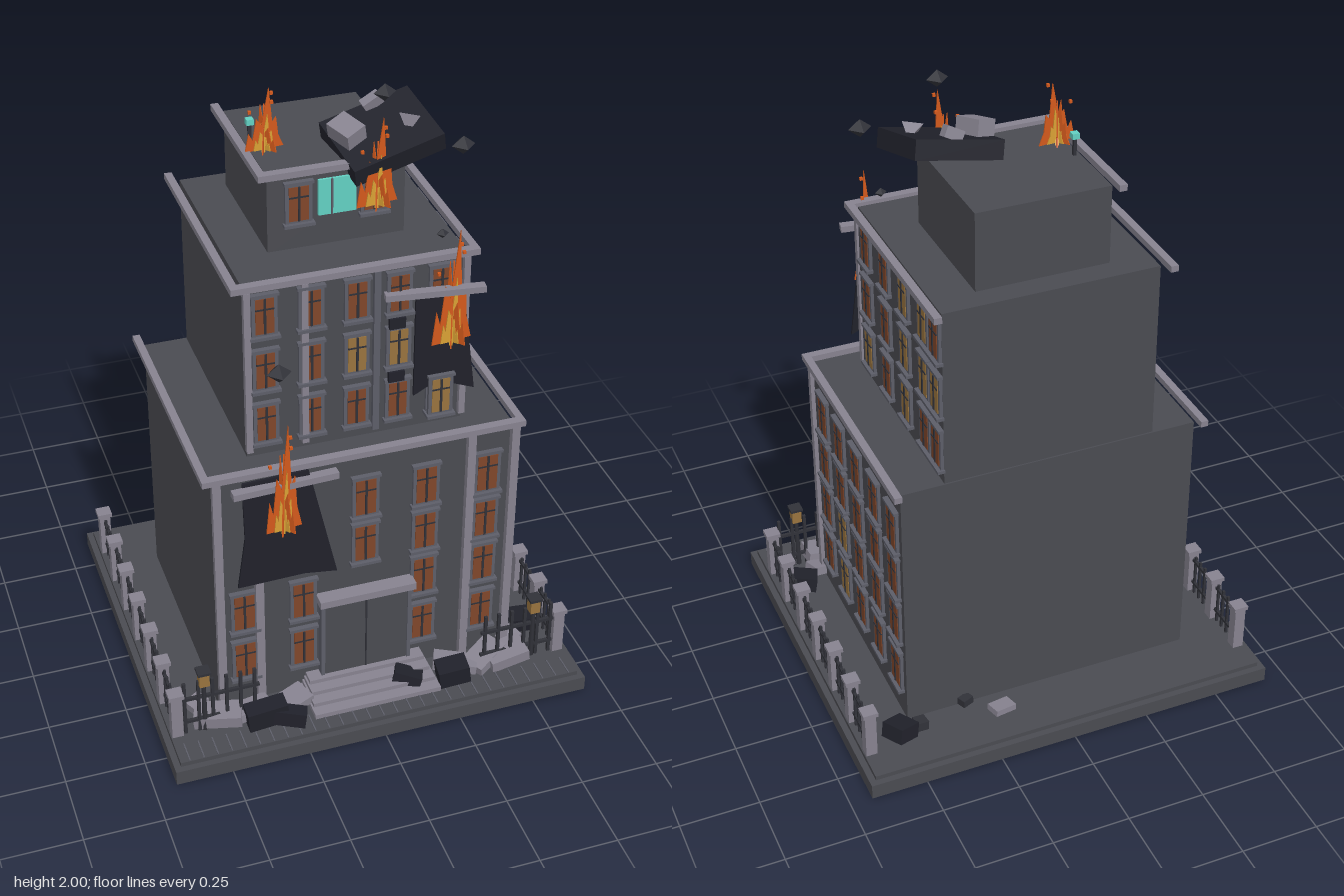
import * as THREE from 'three';

const mat = (name, color, side = THREE.FrontSide) => {
  const m = new THREE.MeshStandardMaterial({ color, side });
  m.name = name;
  return m;
};
const wall = mat('wall', 0x4a4b51), trim = mat('paleStone', 0x86828f), frame = mat('windowFrame', 0x5c5d68);
const char = mat('charred', 0x20212a), iron = mat('iron', 0x303138), amber = mat('amberGlass', 0x80462a);
const lit = mat('litGlass', 0x98733e), fire = mat('flame', 0xd2591c), core = mat('flameCore', 0xd8a034);
const cyan = mat('cyanGlow', 0x62d0c2);

function add(parent, name, geo, m, x = 0, y = 0, z = 0) {
  const mesh = new THREE.Mesh(geo, m);
  mesh.name = name;
  mesh.position.set(x, y, z);
  parent.add(mesh);
  return mesh;
}
const box = (parent, name, m, w, h, d, x, y, z) => add(parent, name, new THREE.BoxGeometry(w, h, d), m, x, y, z);

function group(parent, name, x = 0, y = 0, z = 0) {
  const g = new THREE.Group();
  g.name = name;
  g.position.set(x, y, z);
  parent.add(g);
  return g;
}

// Flat polygon extruded by a small depth, centred on z
function plate(points, depth) {
  const shape = new THREE.Shape(points.map(([x, y]) => new THREE.Vector2(x, y)));
  return new THREE.ExtrudeGeometry(shape, { depth, bevelEnabled: false }).translate(0, 0, -depth / 2);
}

// Window facing +z, origin on the wall surface
function addWindow(parent, x, y, z, glass, turn = 0, w = 0.064, h = 0.126) {
  const g = group(parent, 'window', x, y, z);
  g.rotation.y = turn;
  box(g, 'frame', frame, w + 0.022, h + 0.022, 0.012, 0, 0, 0.004);
  box(g, 'glass', glass, w, h, 0.006, 0, 0, 0.009);
  box(g, 'mullion', iron, 0.007, h, 0.006, 0, 0, 0.012);
  box(g, 'transom', iron, w, 0.005, 0.006, 0, h * 0.2, 0.011);
  box(g, 'sill', frame, w + 0.034, 0.01, 0.024, 0, -h / 2 - 0.012, 0.01);
  box(g, 'head', frame, w + 0.03, 0.009, 0.018, 0, h / 2 + 0.012, 0.008);
}

// Three crossed jagged sheets with a shorter bright core
function addFlame(parent, x, y, z, w, h) {
  const g = group(parent, 'fire', x, y, z);
  const outline = [[-0.5, 0], [-0.4, 0.3], [-0.3, 0.17], [-0.19, 0.52], [-0.06, 0.4], [0.14, 1],
    [0.22, 0.42], [0.32, 0.5], [0.37, 0.2], [0.5, 0]];
  for (let i = 0; i < 3; i++) {
    const k = i ? 0.72 : 1;
    const sheet = (s, t) => plate(outline.map(([a, b]) => [a * w * s * k, b * h * t * k]), s < 1 ? 0.011 : 0.004);
    add(g, 'flameSheet', sheet(1, 1), fire).rotation.y = i * 1.05 + 0.12;
    add(g, 'flameHeart', sheet(0.58, 0.58), core).rotation.y = i * 1.05 + 0.12;
  }
  [[0.3, 0.95], [-0.35, 0.75], [0.1, 1.02]].forEach(([a, b], i) =>
    box(g, 'ember', fire, 0.009, 0.009, 0.009, a * w, b * h * 0.85, (i - 1) * 0.04));
}

// Cornice along the front and the chosen sides
function addCornice(parent, x0, x1, y, z0, z1, sides) {
  const g = group(parent, 'cornice');
  box(g, 'frontCornice', trim, x1 - x0, 0.02, 0.028, (x0 + x1) / 2, y, z1 - 0.014);
  for (const s of sides)
    box(g, 'sideCornice', trim, 0.024, 0.02, z1 - z0, s < 0 ? x0 + 0.012 : x1 - 0.012, y, (z0 + z1) / 2);
}

function addFences(root) {
  for (const s of [-1, 1]) {
    const g = group(root, 'sideFence', s * 0.638);
    for (let i = 0; i < 7; i++) {
      const z = -0.49 + i * 0.16;
      box(g, 'post', trim, 0.036, 0.155, 0.036, 0, 0.143, z);
      box(g, 'postCap', trim, 0.048, 0.014, 0.046, 0, 0.226, z);
      if (i === 6) continue;
      for (const y of [0.105, 0.195]) box(g, 'rail', iron, 0.01, 0.01, 0.13, 0, y, z + 0.08);
      for (let k = 1; k < 5; k++) box(g, 'bar', iron, 0.008, 0.15, 0.008, 0, 0.14, z + k * 0.032);
    }
    // Front railing and lamp
    const f = group(root, 'frontFence', 0, 0, 0.475);
    for (let i = 0; i < 6; i++) box(f, 'bar', iron, 0.01, 0.2, 0.01, s * (0.385 + i * 0.045), 0.165, 0);
    for (const y of [0.11, 0.2]) box(f, 'rail', iron, 0.26, 0.01, 0.01, s * 0.5, y, 0);
    const lamp = group(root, 'lamp', s * 0.548, 0, 0.477);
    add(lamp, 'lampPost', new THREE.CylinderGeometry(0.007, 0.009, 0.19, 6), iron, 0, 0.155, 0);
    box(lamp, 'lantern', lit, 0.032, 0.048, 0.032, 0, 0.274, 0);
    box(lamp, 'lanternCap', iron, 0.042, 0.009, 0.042, 0, 0.302, 0);
  }
}

export function createModel() {
  const root = new THREE.Group();
  root.name = 'burningTower';

  // Base and paving seams
  box(root, 'base', wall, 1.36, 0.05, 1.24, 0, 0.025, 0);
  box(root, 'pavement', wall, 1.32, 0.015, 1.2, 0, 0.0575, 0);
  for (let i = -14; i <= 14; i++) box(root, 'pavingSeam', frame, 0.004, 0.003, 0.075, i * 0.045, 0.066, 0.56);

  // Three stepped storeys
  box(root, 'lowerBlock', wall, 0.96, 0.875, 0.79, 0, 0.4975, -0.005);
  box(root, 'middleBlock', wall, 0.68, 0.58, 0.69, 0, 1.225, -0.05);
  box(root, 'topBlock', wall, 0.42, 0.26, 0.44, -0.003, 1.635, -0.1);
  addCornice(root, -0.51, 0.51, 0.945, -0.435, 0.41, [-1, 1]);
  addCornice(root, -0.38, 0.375, 1.517, -0.43, 0.312, [-1, 1]);
  addCornice(root, -0.245, 0.205, 1.768, -0.352, 0.145, [-1]);

  // Lower windows
  [0.24, 0.43, 0.605, 0.78].forEach((y, r) => {
    [-0.39, -0.2, 0, 0.195, 0.395].forEach((x, c) => {
      if ((c === 2 && r < 2) || (c < 2 && r > 1)) return;
      addWindow(root, x, y, 0.39, amber);
    });
    [0.29, 0.135, -0.02, -0.18, -0.335].forEach((z, c) =>
      addWindow(root, 0.48, y, z, c === 1 && r < 2 ? lit : amber, Math.PI / 2));
  });

  // Middle windows; digits pick the lit panes
  const frontLit = ['00001', '00110', '00000'], sideLit = ['10100', '00111', '00110'];
  [1.05, 1.235, 1.42].forEach((y, r) => {
    [-0.28, -0.14, 0, 0.13, 0.26].forEach((x, c) =>
      addWindow(root, x, y, 0.295, frontLit[r][c] === '1' ? lit : amber, 0, 0.056, 0.116));
    [0.21, 0.05, -0.11, -0.265, -0.355].forEach((z, c) =>
      addWindow(root, 0.34, y, z, sideLit[r][c] === '1' ? lit : amber, Math.PI / 2, 0.056, 0.116));
  });

  // Top windows and glowing pane
  addWindow(root, -0.12, 1.665, 0.12, amber, 0, 0.06, 0.11);
  addWindow(root, 0.11, 1.665, 0.12, amber, 0, 0.06, 0.11);
  box(root, 'glowingPane', cyan, 0.115, 0.115, 0.008, -0.003, 1.673, 0.126);
  box(root, 'paneBar', frame, 0.006, 0.115, 0.006, -0.02, 1.673, 0.13);
  box(root, 'beaconPost', iron, 0.01, 0.06, 0.01, -0.195, 1.79, -0.105);
  box(root, 'beacon', cyan, 0.022, 0.018, 0.022, -0.195, 1.828, -0.105);

  // Pilasters
  for (const [x, h] of [[-0.467, 0.87], [-0.342, 0.83], [0.337, 0.87], [0.48, 0.87]])
    box(root, 'lowerPilaster', trim, 0.026, h, 0.024, x, 0.065 + h / 2, 0.398);
  for (const x of [-0.333, -0.16, 0.06, 0.337])
    box(root, 'middlePilaster', x === 0.06 ? frame : trim, 0.02, 0.55, 0.02, x, 1.23, 0.3);

  // Entrance and steps
  box(root, 'door', wall, 0.28, 0.32, 0.035, 0, 0.25, 0.4);
  box(root, 'doorSeam', iron, 0.005, 0.28, 0.006, 0, 0.26, 0.417);
  for (const s of [-1, 1]) box(root, 'doorJamb', frame, 0.012, 0.32, 0.04, s * 0.143, 0.25, 0.402);
  box(root, 'lintel', trim, 0.315, 0.025, 0.06, 0, 0.423, 0.41);
  for (let i = 0; i < 4; i++)
    box(root, 'step', trim, 0.42 - i * 0.012, 0.016, 0.165 - i * 0.037, 0, 0.073 + i * 0.014, 0.465 - i * 0.0185);

  // Scorched wall and broken beams
  add(root, 'lowerScorch', plate([[-0.39, 0.925], [-0.185, 0.932], [-0.095, 0.53], [-0.2, 0.545], [-0.41, 0.54],
    [-0.385, 0.72]], 0.008), char, 0, 0, 0.408);
  add(root, 'middleScorch', plate([[0.175, 1.4], [0.325, 1.4], [0.37, 1.05], [0.25, 1.1], [0.175, 1.06]], 0.008),
    char, 0, 0, 0.316);
  addWindow(root, 0.26, 1.05, 0.318, lit, 0, 0.056, 0.116);
  box(root, 'lowerBeam', trim, 0.33, 0.022, 0.03, -0.26, 0.902, 0.42).rotation.y = 0.04;
  box(root, 'middleBeam', trim, 0.3, 0.02, 0.03, 0.23, 1.418, 0.33).rotation.y = -0.13;
  for (const y of [1.14, 1.325]) box(root, 'wallHole', char, 0.05, 0.035, 0.012, 0.12, y, 0.315);

  // Fires
  addFlame(root, -0.27, 0.75, 0.435, 0.115, 0.37);
  addFlame(root, 0.285, 1.24, 0.33, 0.13, 0.37);
  addFlame(root, -0.175, 1.775, -0.025, 0.12, 0.19);
  addFlame(root, 0.105, 1.645, 0.165, 0.13, 0.27);

  // Collapsed roof slab
  const slab = group(root, 'roofDebris', 0.16, 1.8, 0.05);
  slab.rotation.set(0.24, 0.14, 0.2);
  box(slab, 'brokenSlab', char, 0.29, 0.06, 0.235, 0, 0, 0);
  box(slab, 'slabBlock', trim, 0.07, 0.05, 0.09, -0.1, 0.055, -0.02).rotation.y = 0.3;
  box(slab, 'slabBlock', trim, 0.06, 0.035, 0.03, 0.02, 0.045, -0.1).rotation.z = 0.3;
  add(slab, 'slabChip', new THREE.TetrahedronGeometry(0.04), trim, 0.085, 0.035, 0.02);

  // Flying fragments
  for (const [x, y, z, r] of [[0.14, 1.972, 0.12, 0.034], [0.35, 1.815, 0.207, 0.036],
    [-0.257, 1.257, 0.363, 0.038], [0.276, 1.565, 0.256, 0.019]])
    add(root, 'fragment', new THREE.OctahedronGeometry(r), iron, x, y, z).scale.y = 0.8;

  // Ground rubble: x, z, width, height, depth, yaw, tilt
  const rubble = (m, list) => list.forEach(([x, z, w, h, d, yaw, tilt]) =>
    box(root, 'rubble', m, w, h, d, x, 0.075 + h / 2, z).rotation.set(tilt * 0.5, yaw, tilt));
  rubble(char, [[-0.36, 0.515, 0.13, 0.07, 0.06, 0, 0.1], [-0.29, 0.54, 0.1, 0.05, 0.05, -0.35, -0.15],
    [0.12, 0.48, 0.09, 0.04, 0.06, -0.4, -0.3], [0.26, 0.515, 0.1, 0.065, 0.07, -0.1, 0.15],
    [0.57, 0.34, 0.08, 0.05, 0.07, -0.3, 0.2], [0.53, -0.47, 0.08, 0.05, 0.08, 0.5, 0.2]]);
  rubble(trim, [[-0.5, 0.46, 0.15, 0.04, 0.08, -0.35, 0.12], [-0.39, 0.46, 0.13, 0.03, 0.07, 0.3, -0.1],
    [-0.27, 0.47, 0.13, 0.03, 0.08, 0.35, 0.1], [0.29, 0.46, 0.14, 0.03, 0.07, -0.4, -0.1],
    [0.39, 0.46, 0.13, 0.035, 0.08, 0.55, 0.15], [0.46, 0.475, 0.13, 0.04, 0.09, 0.05, 0.15],
    [0.5, 0.4, 0.07, 0.03, 0.06, 0.3, 0.2], [-0.55, 0.385, 0.06, 0.03, 0.05, 0.5, 0.1],
    [0.195, -0.485, 0.075, 0.02, 0.05, 0.25, 0.1]]);
  rubble(iron, [[0.46, -0.46, 0.04, 0.03, 0.04, 0.1, 0.1], [0.29, -0.415, 0.04, 0.025, 0.03, 0.4, 0]]);

  addFences(root);
  return root;
}
